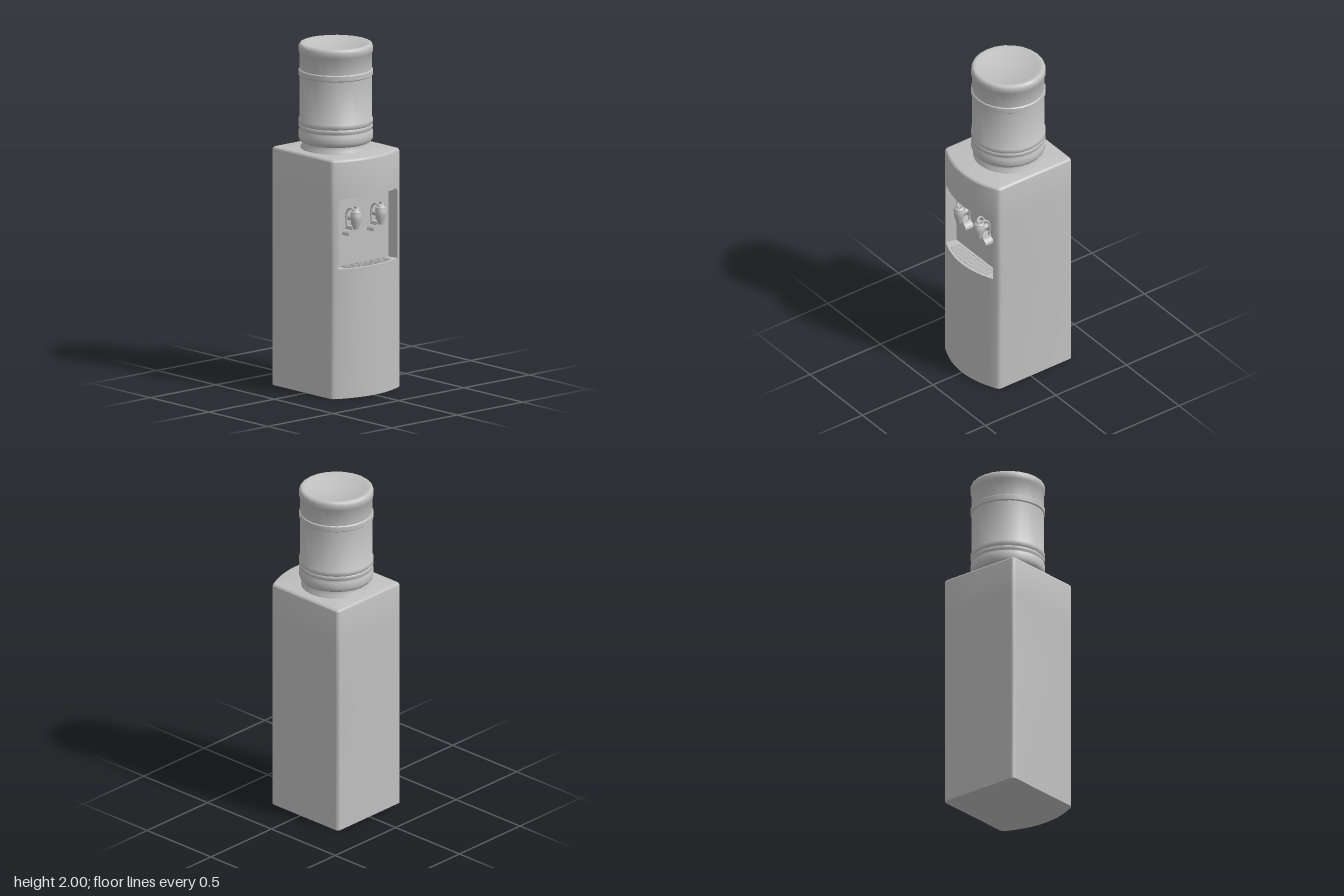
import * as THREE from 'three';
import { toCreasedNormals } from 'three/addons/utils/BufferGeometryUtils.js';

const plastic = new THREE.MeshStandardMaterial({ color: 0xc0c0c0 });
plastic.name = 'grey plastic';

const RECESS = { low: 0.755, high: 1.165, back: 0.175, mouth: 0.225, inner: 0.213 };
const CABINET_TOP = 1.39;

function part(name, geometry, parent) {
  const mesh = new THREE.Mesh(geometry, plastic);
  mesh.name = name;
  parent.add(mesh);
  return mesh;
}

// Depth of the bowed front face at a given x
const frontZ = (x) => 0.294 - 0.063 * (x / 0.245) ** 2;

// Cabinet footprint as [x, z], running along the front, right, back, left
function footprint(pocket = false) {
  const right = [[0.252, 0.226], [0.259, 0.216], [0.26, 0.205]];
  for (let i = 0; i <= 4; i++) {
    const a = (i / 4) * Math.PI / 2;
    right.push([0.24 + 0.02 * Math.cos(a), -0.275 - 0.02 * Math.sin(a)]);
  }
  let front = [];
  if (pocket) {
    const { mouth, inner, back } = RECESS;
    front = [[-0.24, frontZ(0.24)], [-mouth, frontZ(mouth)], [-inner, back],
      [inner, back], [mouth, frontZ(mouth)], [0.24, frontZ(0.24)]];
  } else {
    for (let i = -6; i <= 6; i++) front.push([0.04 * i, frontZ(0.04 * i)]);
  }
  return [...front, ...right, ...right.map(([x, z]) => [-x, z]).reverse()];
}

// Solid through inset copies of the footprint; rings are [y, inset]
function loft(rings) {
  const base = footprint();
  const n = base.length;
  const loops = rings.map(([y, d]) => base.map(([x, z]) => [x * (1 - d / 0.26), y, z * (1 - d / 0.295)]));
  const pos = [];
  const tri = (a, b, c) => pos.push(...a, ...b, ...c);
  const first = loops[0], last = loops[loops.length - 1];
  for (let i = 0; i < n; i++) {
    const k = (i + 1) % n;
    for (let j = 0; j + 1 < loops.length; j++) {
      tri(loops[j][i], loops[j][k], loops[j + 1][k]);
      tri(loops[j][i], loops[j + 1][k], loops[j + 1][i]);
    }
    tri([0, first[0][1], 0], first[k], first[i]);
    tri([0, last[0][1], 0], last[i], last[k]);
  }
  const geo = new THREE.BufferGeometry();
  geo.setAttribute('position', new THREE.Float32BufferAttribute(pos, 3));
  return toCreasedNormals(geo, 0.7);
}

function lathe(points, segments) {
  const geo = new THREE.LatheGeometry(points.map(([r, y]) => new THREE.Vector2(r, y)), segments);
  return toCreasedNormals(geo, 0.75);
}

function buildCabinet() {
  const cabinet = new THREE.Group();
  cabinet.name = 'cabinet';
  part('lowerCabinet', loft([[0, 0], [RECESS.low, 0]]), cabinet);
  part('upperCabinet', loft([[RECESS.high, 0], [CABINET_TOP - 0.015, 0],
    [CABINET_TOP - 0.007, 0.002], [CABINET_TOP - 0.002, 0.007], [CABINET_TOP, 0.015]]), cabinet);

  // Middle section with the dispensing pocket cut out of its front
  const shape = new THREE.Shape(footprint(true).map(([x, z]) => new THREE.Vector2(x, -z)));
  const middle = new THREE.ExtrudeGeometry(shape, { depth: RECESS.high - RECESS.low, bevelEnabled: false });
  middle.rotateX(-Math.PI / 2).translate(0, RECESS.low, 0);
  part('recessSection', toCreasedNormals(middle, 0.7), cabinet);

  // Rounded upper corners of the pocket, trimmed to the bowed front
  for (const side of [-1, 1]) {
    const r = 0.03, x0 = RECESS.mouth, y0 = RECESS.high;
    const pts = [new THREE.Vector2(side * x0, y0)];
    for (let i = 0; i <= 6; i++) {
      const a = (i / 6) * Math.PI / 2;
      pts.push(new THREE.Vector2(side * (x0 - r + r * Math.cos(a)), y0 - r + r * Math.sin(a)));
    }
    const geo = new THREE.ExtrudeGeometry(new THREE.Shape(pts), { depth: 1, bevelEnabled: false });
    const p = geo.attributes.position;
    for (let i = 0; i < p.count; i++) p.setZ(i, p.getZ(i) > 0.5 ? frontZ(p.getX(i)) : RECESS.back);
    part('recessCorner', toCreasedNormals(geo, 0.7), cabinet);
  }
  return cabinet;
}

// Drip grille: narrow slats following the bowed front, joined by cross bars
function buildGrille() {
  const grille = new THREE.Group();
  grille.name = 'dripGrille';
  for (let i = -12; i <= 12; i++) {
    const x = i * 0.014;
    const z0 = RECESS.back + 0.012, z1 = frontZ(x) - 0.018;
    part('grilleSlat', new THREE.BoxGeometry(0.006, 0.006, z1 - z0), grille)
      .position.set(x, RECESS.low + 0.002, (z0 + z1) / 2);
  }
  for (const z of [0.19, 0.215, 0.24]) {
    part('grilleBar', new THREE.BoxGeometry(0.342, 0.004, 0.004), grille)
      .position.set(0, RECESS.low + 0.002, z);
  }
  return grille;
}

function buildTap(x) {
  const tap = new THREE.Group();
  tap.name = 'tap';
  tap.position.set(x, 0, 0);

  // Barrel with a narrow nozzle and a domed cap
  part('tapBarrel', lathe([[0, 0.972], [0.017, 0.972], [0.02, 0.985], [0.026, 1.005], [0.031, 1.03],
    [0.032, 1.055], [0.029, 1.06], [0.029, 1.07], [0.018, 1.078], [0.014, 1.088], [0, 1.09]], 16), tap)
    .position.z = 0.243;

  // Pipe into the back wall
  part('tapPipe', new THREE.CylinderGeometry(0.015, 0.015, 0.07, 12).rotateX(Math.PI / 2), tap)
    .position.set(0, 1.03, 0.205);

  // Flared foot behind the nozzle
  const foot = new THREE.Shape();
  foot.moveTo(-0.046, 0.935);
  foot.lineTo(0.046, 0.935);
  foot.quadraticCurveTo(0.046, 0.957, 0.022, 0.965);
  foot.lineTo(0.016, 0.985);
  foot.lineTo(-0.016, 0.985);
  foot.lineTo(-0.022, 0.965);
  foot.quadraticCurveTo(-0.046, 0.957, -0.046, 0.935);
  part('tapFoot', toCreasedNormals(new THREE.ExtrudeGeometry(foot,
    { depth: 0.055, bevelEnabled: false, curveSegments: 5 }), 0.6), tap).position.z = RECESS.back;

  // Curved lever arms from the cap back to the wall
  for (const s of [-1, 1]) {
    const path = new THREE.CatmullRomCurve3([
      new THREE.Vector3(s * 0.012, 1.075, 0.25), new THREE.Vector3(s * 0.02, 1.093, 0.232),
      new THREE.Vector3(s * 0.024, 1.085, 0.205), new THREE.Vector3(s * 0.024, 1.05, 0.188),
      new THREE.Vector3(s * 0.018, 0.98, 0.186)]);
    part('leverArm', new THREE.TubeGeometry(path, 14, 0.006, 8), tap);
  }
  return tap;
}

function buildBottle() {
  const bottle = new THREE.Group();
  bottle.name = 'bottle';
  bottle.position.z = -0.035;
  part('bottleCollar', lathe([[0.203, CABINET_TOP - 0.005], [0.2, 1.398], [0.191, 1.412], [0.19, 1.425], [0, 1.425]], 24), bottle);

  // Bottle shell with raised bands and a dished base on top
  const r = 0.207, b = 0.213;
  part('bottleShell', lathe([
    [0.185, 1.42], [0.19, 1.427], [0.203, 1.432], [0.21, 1.442], [b, 1.455], [b, 1.488], [r, 1.498],
    [r, 1.505], [0.211, 1.51], [0.211, 1.525], [r, 1.53], [b, 1.537], [b, 1.56], [r, 1.567],
    [r, 1.812], [b, 1.817], [b, 1.845], [r, 1.85], [r, 1.943], [b, 1.95], [b, 1.98],
    [0.209, 1.992], [0.203, 1.998], [0.195, 2], [0.183, 1.998], [0.16, 1.991],
    [0.12, 1.98], [0.06, 1.971], [0, 1.968]], 24), bottle);
  return bottle;
}

export function createModel() {
  const model = new THREE.Group();
  model.name = 'waterDispenser';
  model.add(buildCabinet(), buildGrille(), buildTap(-0.095), buildTap(0.095), buildBottle());
  return model;
}
